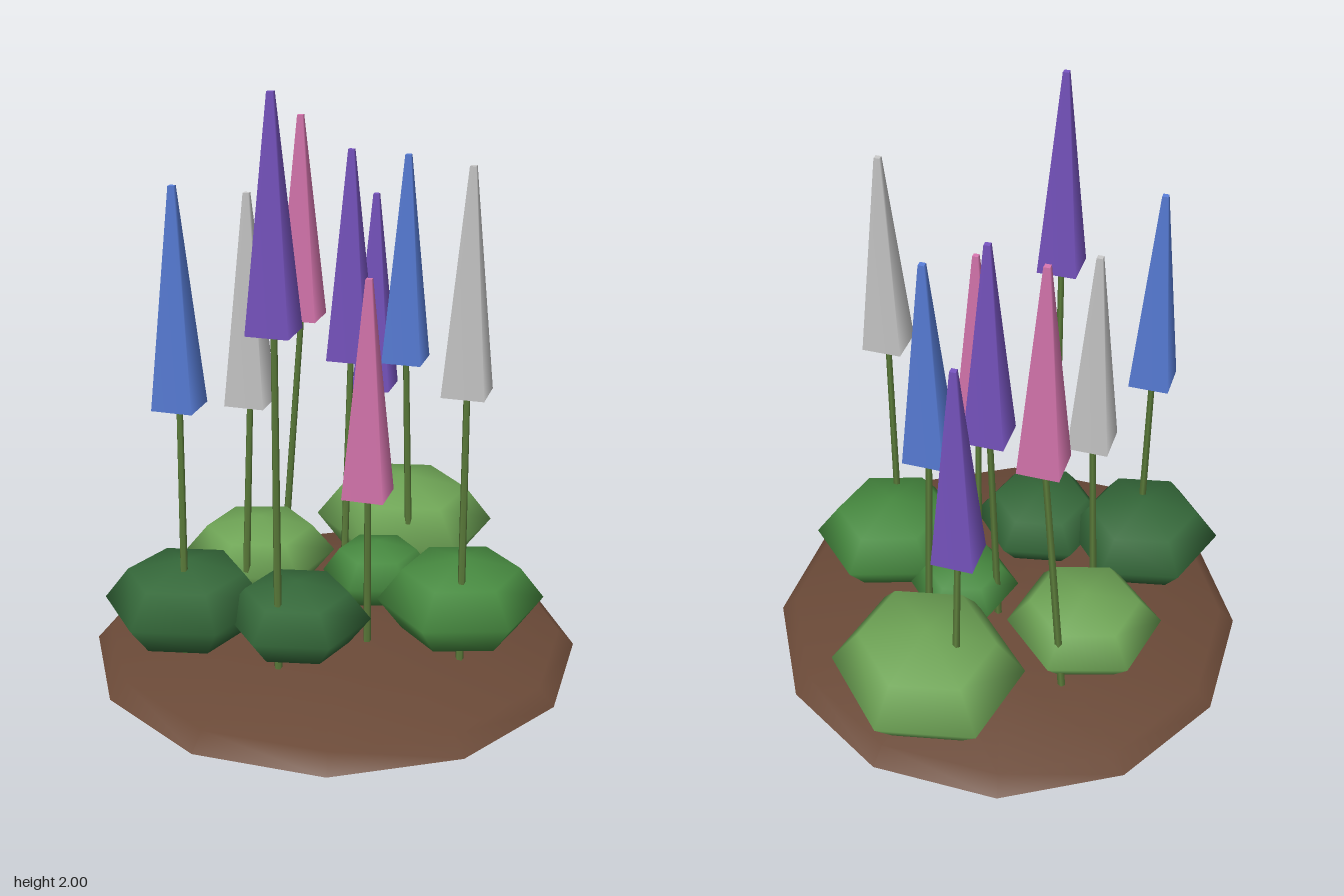
import * as THREE from 'three';

const mat = (color, side = THREE.FrontSide) => new THREE.MeshStandardMaterial({ color, side });

const soil = mat(0x6b4a38);
const stemGreen = mat(0x5c7d3b);
const leaf = { dark: mat(0x35693a), mid: mat(0x478a40), light: mat(0x6fa556) };
const petal = { blue: mat(0x5a80dc), purple: mat(0x7a56c4), pink: mat(0xdb78b2), white: mat(0xdddddd) };

function add(parent, name, geometry, material) {
  const mesh = new THREE.Mesh(geometry, material);
  mesh.name = name;
  parent.add(mesh);
  return mesh;
}

// Straight thin stem between two points
function addStem(parent, from, to) {
  const dir = to.clone().sub(from);
  const stem = add(parent, 'stem', new THREE.CylinderGeometry(0.011, 0.014, dir.length(), 5), stemGreen);
  stem.position.copy(from).addScaledVector(dir, 0.5);
  stem.quaternion.setFromUnitVectors(new THREE.Vector3(0, 1, 0), dir.normalize());
}

export function createModel() {
  const group = new THREE.Group();
  group.name = 'flowerBed';

  // Twelve-sided low mound of soil with a flat underside
  const profile = [[0.845, 0], [0.79, 0.055], [0.42, 0.125], [0, 0.14]].map(([r, y]) => new THREE.Vector2(r, y));
  add(group, 'soilMound', new THREE.LatheGeometry(profile, 12), soil);
  const underside = add(group, 'soilUnderside', new THREE.CircleGeometry(0.845, 12), soil);
  underside.rotation.x = Math.PI / 2;

  // Squashed six-sided leaf clumps: x, y, z, radii x y z, turn, shade
  const clumps = [
    [0.465, 0.262, -0.31, 0.32, 0.175, 0.36, 0, 'light'],
    [-0.12, 0.235, -0.355, 0.27, 0.135, 0.275, 0.04, 'light'],
    [-0.53, 0.258, -0.075, 0.28, 0.152, 0.275, -0.06, 'dark'],
    [-0.245, 0.25, 0.19, 0.245, 0.13, 0.25, -0.05, 'dark'],
    [0.29, 0.262, 0.36, 0.285, 0.154, 0.275, 0.04, 'mid'],
    [0.17, 0.24, 0.005, 0.195, 0.115, 0.19, 0, 'mid'],
  ];
  for (const [x, y, z, rx, ry, rz, turn, shade] of clumps) {
    const geometry = new THREE.SphereGeometry(1, 6, 4).rotateY(Math.PI / 6 + turn).scale(rx, ry, rz);
    add(group, 'leafClump', geometry, leaf[shade]).position.set(x, y, z);
  }

  // Flower spikes: x, base height, z, stem foot x and z, colour
  const spikes = [
    [-0.535, 0.96, -0.065, -0.565, -0.01, 'blue'],
    [-0.36, 1.28, 0.28, -0.35, 0.26, 'purple'],
    [-0.228, 0.885, -0.183, -0.262, -0.185, 'white'],
    [-0.037, 0.685, 0.293, -0.015, 0.258, 'pink'],
    [0.092, 1.08, -0.42, 0.037, -0.48, 'pink'],
    [0.132, 1.005, -0.128, 0.08, -0.088, 'purple'],
    [0.228, 1.04, 0.455, 0.22, 0.47, 'white'],
    [0.332, 0.975, -0.095, 0.365, -0.1, 'blue'],
    [0.372, 0.785, -0.378, 0.42, -0.42, 'purple'],
  ];
  const height = 0.723;
  const spikeGeometry = new THREE.CylinderGeometry(0.014, 0.098, height, 4);
  for (const [x, y, z, footX, footZ, colour] of spikes) {
    const flower = new THREE.Group();
    flower.name = 'flower';
    addStem(flower, new THREE.Vector3(footX, 0.1, footZ), new THREE.Vector3(x, y + 0.05, z));
    add(flower, 'flowerSpike', spikeGeometry, petal[colour]).position.set(x, y + height / 2, z);
    group.add(flower);
  }
  return group;
}
